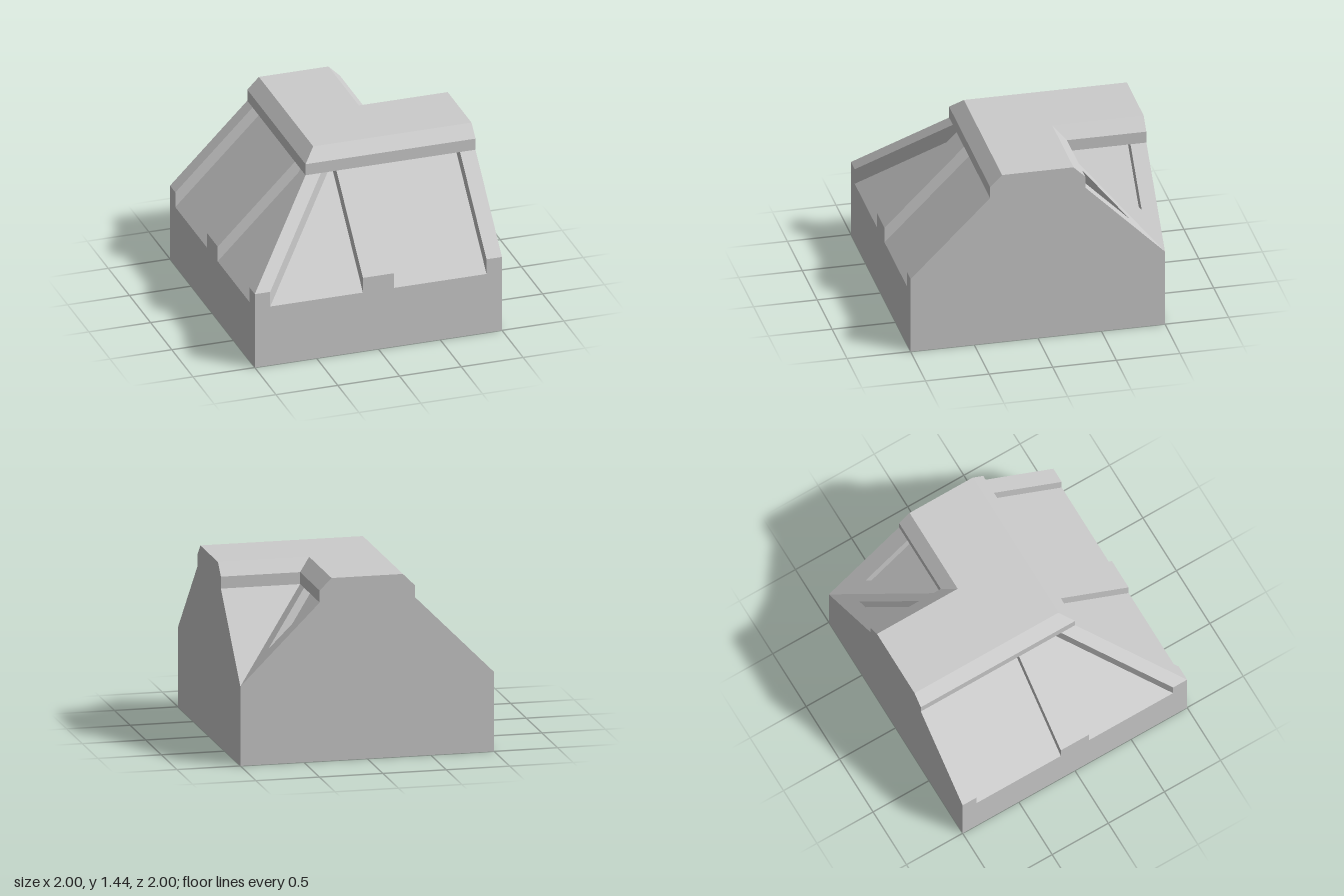
import * as THREE from 'three';

const material = new THREE.MeshStandardMaterial({ color: 0xcccccc, flatShading: true });

// Sweeps a [z, y] profile along x; start and end of each edge depend on z.
// mirror reflects the result across the diagonal corner plane.
function sweep(name, profile, start, end, mirror) {
  let pts = profile.map(([z, y]) => new THREE.Vector2(z, y));
  if (THREE.ShapeUtils.isClockWise(pts)) pts = pts.reverse();
  const positions = [];
  const tri = (a, b, c) => {
    const area = b.clone().sub(a).cross(c.clone().sub(a)).length();
    if (area < 1e-8) return;
    for (const p of mirror ? [a, c, b] : [a, b, c]) {
      if (mirror) positions.push(-p.z, p.y, -p.x);
      else positions.push(p.x, p.y, p.z);
    }
  };
  const p0 = pts.map((p) => new THREE.Vector3(start(p.x), p.y, p.x));
  const p1 = pts.map((p) => new THREE.Vector3(end(p.x), p.y, p.x));
  pts.forEach((_, i) => {
    const j = (i + 1) % pts.length;
    tri(p0[i], p1[i], p1[j]);
    tri(p0[i], p1[j], p0[j]);
  });
  for (const [a, b, c] of THREE.ShapeUtils.triangulateShape(pts, [])) {
    if (start !== miter) tri(p0[a], p0[b], p0[c]); // mitred ends join the other arm
    tri(p1[a], p1[c], p1[b]);
  }
  const geometry = new THREE.BufferGeometry();
  geometry.setAttribute('position', new THREE.Float32BufferAttribute(positions, 3));
  geometry.computeVertexNormals();
  const mesh = new THREE.Mesh(geometry, material);
  mesh.name = name;
  return mesh;
}

const at = (x) => () => x;
const miter = (z) => -z;
const miterRib = (z) => -z + 0.125;

// Sloping rib section between two distances from the wall's centre line
const ribProfile = (side, outer, inner) => {
  const top = Math.max(inner, 0.375);
  return [[outer, 1.5 - outer], [outer, 1.625 - outer], [top, 1.625 - top], [inner, 1.5 - inner]]
    .map(([z, y]) => [side * z, y]);
};

function createArm(name, mirror) {
  const arm = new THREE.Group();
  arm.name = name;
  const add = (part, profile, start, end) => arm.add(sweep(part, profile, start, end, mirror));

  // Wall body with the recessed slopes
  add('wallCore', [[1, 0], [1, 0.5], [0.25, 1.25], [-0.25, 1.25], [-1, 0.5], [-1, 0]], miter, at(1));

  // Bevelled walkway on top
  add('cap', [[0.375, 1.25], [0.375, 1.344], [0.281, 1.4375],
    [-0.281, 1.4375], [-0.375, 1.344], [-0.375, 1.25]], miter, at(1));

  // Outer slope ribs
  const outer = ribProfile(1, 1, 0.25);
  add('outerCornerRib', outer, miter, miterRib);
  add('outerMiddleRib', outer, at(-0.125), at(0.125));
  add('outerEndRib', outer, at(0.875), at(1));

  // Inner slope ribs, running together at the foot of the valley
  add('innerCornerRib', ribProfile(-1, 0.875, 0.25), miter, miterRib);
  add('innerCornerRibFoot', ribProfile(-1, 1, 0.875), miter, at(1));
  add('innerEndRib', ribProfile(-1, 0.75, 0.25), at(0.875), at(1));
  add('innerEndRibFoot', ribProfile(-1, 0.875, 0.75), miterRib, at(1));
  return arm;
}

export function createModel() {
  const model = new THREE.Group();
  model.name = 'wallCorner';
  model.add(createArm('frontArm', false), createArm('sideArm', true));
  return model;
}
